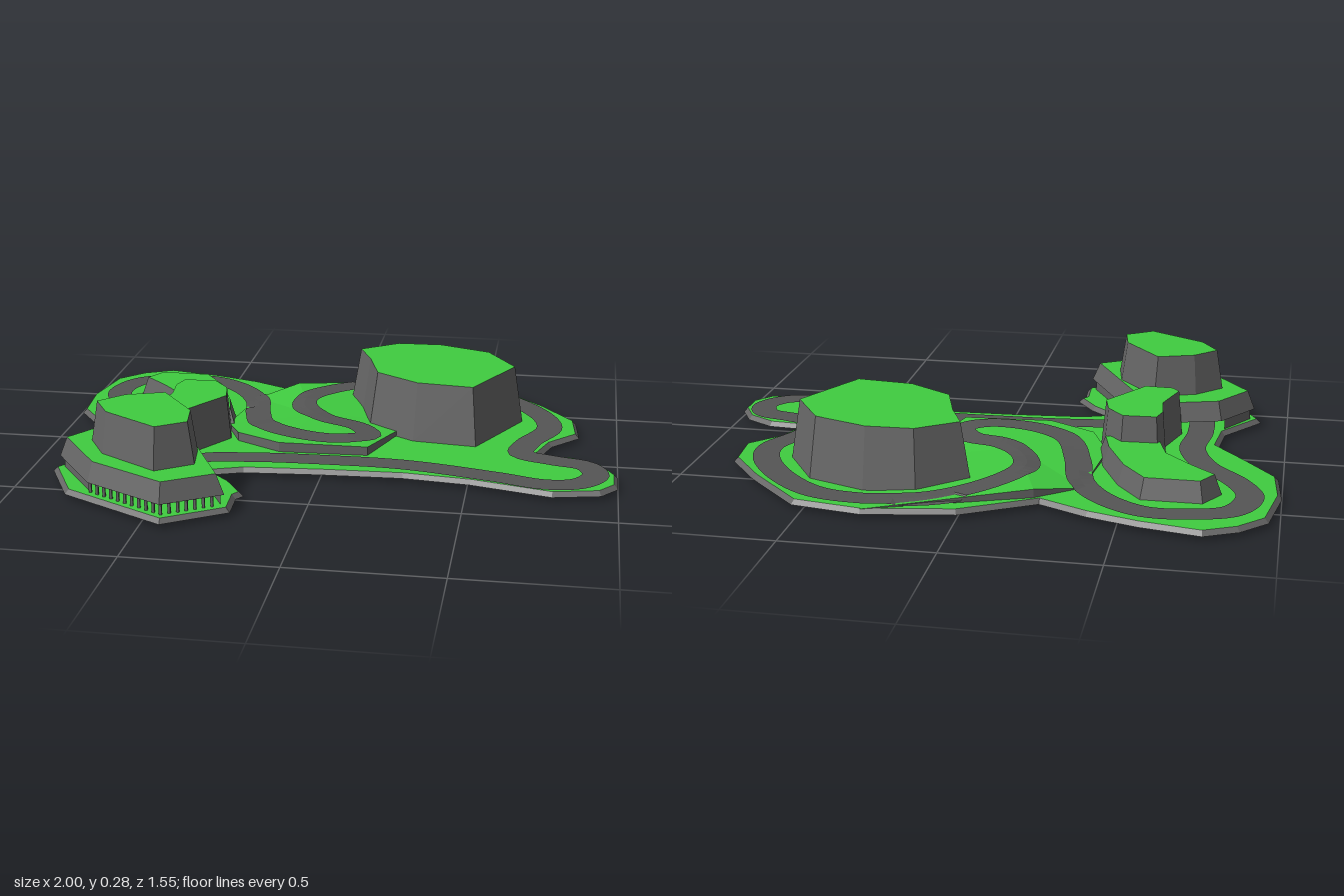
import * as THREE from 'three';

const grey = new THREE.MeshStandardMaterial({ color: 0xcccccc, flatShading: true });
const rock = new THREE.MeshStandardMaterial({ color: 0x666666, flatShading: true, side: THREE.DoubleSide });
const asphalt = new THREE.MeshStandardMaterial({ color: 0x555555, side: THREE.DoubleSide });
const grass = new THREE.MeshStandardMaterial({ color: 0x40cc40, flatShading: true, side: THREE.DoubleSide });
grey.color.set(0x666666);

// Flat x, z lists become points, ordered anticlockwise seen from above
function points(list) {
  const p = [];
  for (let i = 0; i < list.length; i += 2) p.push(new THREE.Vector2(list[i], -list[i + 1]));
  return THREE.ShapeUtils.isClockWise(p) ? p.reverse() : p;
}

// Moves every edge of an outline inward by d
function inset(p, d) {
  return p.map((b, i) => {
    const a = p[(i + p.length - 1) % p.length], c = p[(i + 1) % p.length];
    const u = b.clone().sub(a).normalize(), v = c.clone().sub(b).normalize();
    const m = new THREE.Vector2(-u.y - v.y, u.x + v.x).normalize();
    const k = d / Math.max(0.6, m.dot(new THREE.Vector2(-u.y, u.x)));
    return b.clone().addScaledVector(m, k);
  });
}

function surface(name, pos, material) {
  const g = new THREE.BufferGeometry();
  g.setAttribute('position', new THREE.Float32BufferAttribute(pos, 3));
  g.computeVertexNormals();
  const mesh = new THREE.Mesh(g, material);
  mesh.name = name;
  return mesh;
}

function cap(name, p, y, material) {
  const mesh = new THREE.Mesh(new THREE.ShapeGeometry(new THREE.Shape(p)), material);
  mesh.geometry.rotateX(-Math.PI / 2).translate(0, y, 0);
  mesh.name = name;
  return mesh;
}

// Tapered rock walls with a flat top and optional floor
function terrace(name, p, y0, y1, taper, topMaterial = grass, floorMaterial = null) {
  const group = new THREE.Group(), top = inset(p, taper), pos = [];
  group.name = name;
  p.forEach((a, i) => {
    const j = (i + 1) % p.length, b = p[j], c = top[j], d = top[i];
    pos.push(a.x, y0, -a.y, b.x, y0, -b.y, c.x, y1, -c.y);
    pos.push(a.x, y0, -a.y, c.x, y1, -c.y, d.x, y1, -d.y);
  });
  group.add(surface(name + 'Walls', pos, grey), cap(name + 'Top', top, y1, topMaterial));
  if (floorMaterial) group.add(cap(name + 'Floor', p, y0, floorMaterial));
  return group;
}

const GROUND = 0.031;

// Raised lawn: a rim of x, y, z corners fanned around a centre
const rim = [
  [0.3, 0.031, -0.775], [-0.22, 0.06, -0.575], [-0.36, 0.031, -0.46], [-0.4, 0.045, -0.12],
  [-0.335, 0.062, 0.02], [-0.17, 0.065, 0.11], [0.14, 0.062, 0.1], [0.21, 0.05, -0.1], [0.3, 0.031, -0.3],
].map(c => new THREE.Vector3(...c));
const fan = rim.map((a, i) => [new THREE.Vector3(-0.1, 0.065, -0.2), a, rim[(i + 1) % rim.length]]);

function heightAt(x, z) {
  for (const [a, b, c] of fan) {
    const d = (b.z - c.z) * (a.x - c.x) + (c.x - b.x) * (a.z - c.z);
    const u = ((b.z - c.z) * (x - c.x) + (c.x - b.x) * (z - c.z)) / d;
    const v = ((c.z - a.z) * (x - c.x) + (a.x - c.x) * (z - c.z)) / d;
    if (u >= 0 && v >= 0 && u + v <= 1) return u * a.y + v * b.y + (1 - u - v) * c.y;
  }
  return GROUND;
}

// Closed centre line of the track as x, z pairs
const track = [
  0.28, -0.69, 0.47, -0.665, 0.62, -0.55, 0.735, -0.38, 0.755, -0.26, 0.685, -0.1, 0.67, 0.01, 0.78, 0.06,
  0.89, 0.095, 0.925, 0.18, 0.87, 0.265, 0.76, 0.29, 0.59, 0.245, 0.28, 0.18, 0, 0.175, -0.26, 0.19,
  -0.43, 0.23, -0.5, 0.38, -0.6, 0.44, -0.68, 0.36, -0.7, 0.17, -0.685, -0.02, -0.74, -0.18, -0.85, -0.32,
  -0.9, -0.45, -0.85, -0.585, -0.72, -0.635, -0.58, -0.64, -0.45, -0.56, -0.355, -0.42, -0.315, -0.24,
  -0.26, -0.08, -0.13, 0.015, 0.03, 0.04, 0.125, -0.02, 0.08, -0.11, -0.05, -0.17, -0.145, -0.29,
  -0.155, -0.4, -0.05, -0.56, 0.11, -0.67,
];

function ribbon(name, under) {
  const pts = [], pos = [], N = 300, W = 0.046;
  for (let i = 0; i < track.length; i += 2) pts.push(new THREE.Vector3(track[i], 0, track[i + 1]));
  const curve = new THREE.CatmullRomCurve3(pts, true);
  const rows = [];
  for (let i = 0; i < N; i++) {
    const c = curve.getPointAt(i / N), t = curve.getTangentAt(i / N);
    const raised = heightAt(c.x, c.z) > GROUND + 0.004;
    const row = [-W, 0, W].map(o => {
      const x = c.x + t.z * o, z = c.z - t.x * o;
      return [x, under ? 0.012 : heightAt(x, z) + 0.004, z];
    });
    rows.push({ row, raised });
  }
  rows.forEach(({ row: a, raised }, i) => {
    if (under && raised) return;
    const b = rows[(i + 1) % N].row;
    for (let k = 0; k < 2; k++) {
      if (under) pos.push(...a[k], ...b[k], ...a[k + 1], ...a[k + 1], ...b[k], ...b[k + 1]);
      else pos.push(...a[k], ...a[k + 1], ...b[k], ...a[k + 1], ...b[k + 1], ...b[k]);
    }
  });
  return surface(name, pos, asphalt);
}

export function createModel() {
  const model = new THREE.Group();
  model.name = 'raceTrackIsland';

  // Island slab
  const island = points([
    -0.77, -0.765, -0.57, -0.725, -0.4, -0.67, -0.24, -0.59, 0, -0.73, 0.3, -0.78, 0.535, -0.74, 0.73, -0.54,
    0.85, -0.385, 0.865, -0.23, 0.77, -0.125, 0.73, -0.01, 0.85, 0, 0.95, 0.06, 1, 0.15, 1, 0.25,
    0.945, 0.32, 0.785, 0.355, 0.51, 0.285, 0.28, 0.26, 0, 0.27, -0.26, 0.29, -0.36, 0.325, -0.28, 0.4,
    -0.215, 0.5, -0.235, 0.53, -0.23, 0.645, -0.43, 0.775, -0.8, 0.575, -0.905, 0.37, -0.785, 0.2, -0.77, 0.055,
    -0.875, -0.08, -0.985, -0.23, -1, -0.41, -0.965, -0.62, -0.88, -0.71,
  ]);
  model.add(terrace('island', island, 0.015, GROUND, 0.014, grass, grass));

  // Raised lawn and its edge
  const lawn = [], edge = [];
  fan.forEach(([o, a, b]) => {
    lawn.push(...o.toArray(), ...a.toArray(), ...b.toArray());
    edge.push(a.x, GROUND, a.z, b.x, GROUND, b.z, b.x, b.y, b.z, a.x, GROUND, a.z, b.x, b.y, b.z, a.x, a.y, a.z);
  });
  model.add(surface('raisedLawn', lawn, grass), surface('lawnEdge', edge, rock));

  // Track surface, its underside and the sunken tunnel floor
  model.add(ribbon('track', false), ribbon('trackUnderside', true));
  const tunnel = points([-0.72, 0.2, -0.6, 0.18, -0.4, 0.2, -0.36, 0.32, -0.42, 0.52, -0.55, 0.59, -0.68, 0.5]);
  model.add(terrace('tunnelFloor', tunnel, 0, 0.014, 0, asphalt, asphalt));

  // Hills
  model.add(terrace('largeHill', points([0, -0.49, 0.16, -0.605, 0.335, -0.61, 0.535, -0.535, 0.655, -0.345,
    0.505, -0.045, 0.28, -0.07, 0.11, -0.18, 0.06, -0.35]), 0.03, 0.24, 0.03));
  model.add(terrace('lowHill', points([-0.81, -0.435, -0.755, -0.53, -0.555, -0.53, -0.47, -0.41, -0.4, -0.24,
    -0.37, -0.1, -0.6, -0.14, -0.63, -0.25, -0.72, -0.35]), 0.03, 0.1, 0.02));
  model.add(terrace('middleHill', points([-0.58, -0.175, -0.45, -0.18, -0.385, -0.1, -0.365, 0, -0.49, 0.2,
    -0.6, 0.195, -0.635, 0.15, -0.59, 0, -0.6, -0.1]), 0.03, 0.19, 0.014));

  // Two-tier mound over the tunnel
  const deck = [-0.77, 0.2, -0.62, 0.155, -0.47, 0.185, -0.25, 0.63, -0.435, 0.745, -0.715, 0.595, -0.88, 0.365];
  model.add(terrace('moundDeck', points(deck), 0.07, 0.138, 0.022, grass, rock));
  model.add(terrace('moundTop', points([-0.76, 0.38, -0.67, 0.285, -0.525, 0.235, -0.385, 0.42, -0.365, 0.55,
    -0.48, 0.63, -0.69, 0.5]), 0.138, 0.28, 0.02));

  // Solid gallery walls on the sides, a row of posts along the front
  const walls = [];
  for (const [ax, az, bx, bz] of [[-0.4, 0.36, -0.265, 0.62], [-0.71, 0.58, -0.865, 0.365], [-0.865, 0.365, -0.78, 0.23]]) {
    walls.push(ax, 0.03, az, bx, 0.03, bz, bx, 0.07, bz, ax, 0.03, az, bx, 0.07, bz, ax, 0.07, az);
  }
  model.add(surface('galleryWalls', walls, rock));
  const post = new THREE.BoxGeometry(0.009, 0.042, 0.009);
  const rows = [[-0.71, 0.58, -0.435, 0.73, 10], [-0.435, 0.73, -0.265, 0.622, 7]];
  for (const [ax, az, bx, bz, n] of rows) {
    for (let i = 0; i < n; i++) {
      const m = new THREE.Mesh(post, grey);
      m.position.set(ax + (bx - ax) * i / n, 0.05, az + (bz - az) * i / n);
      m.name = 'galleryPost';
      model.add(m);
    }
  }
  return model;
}
